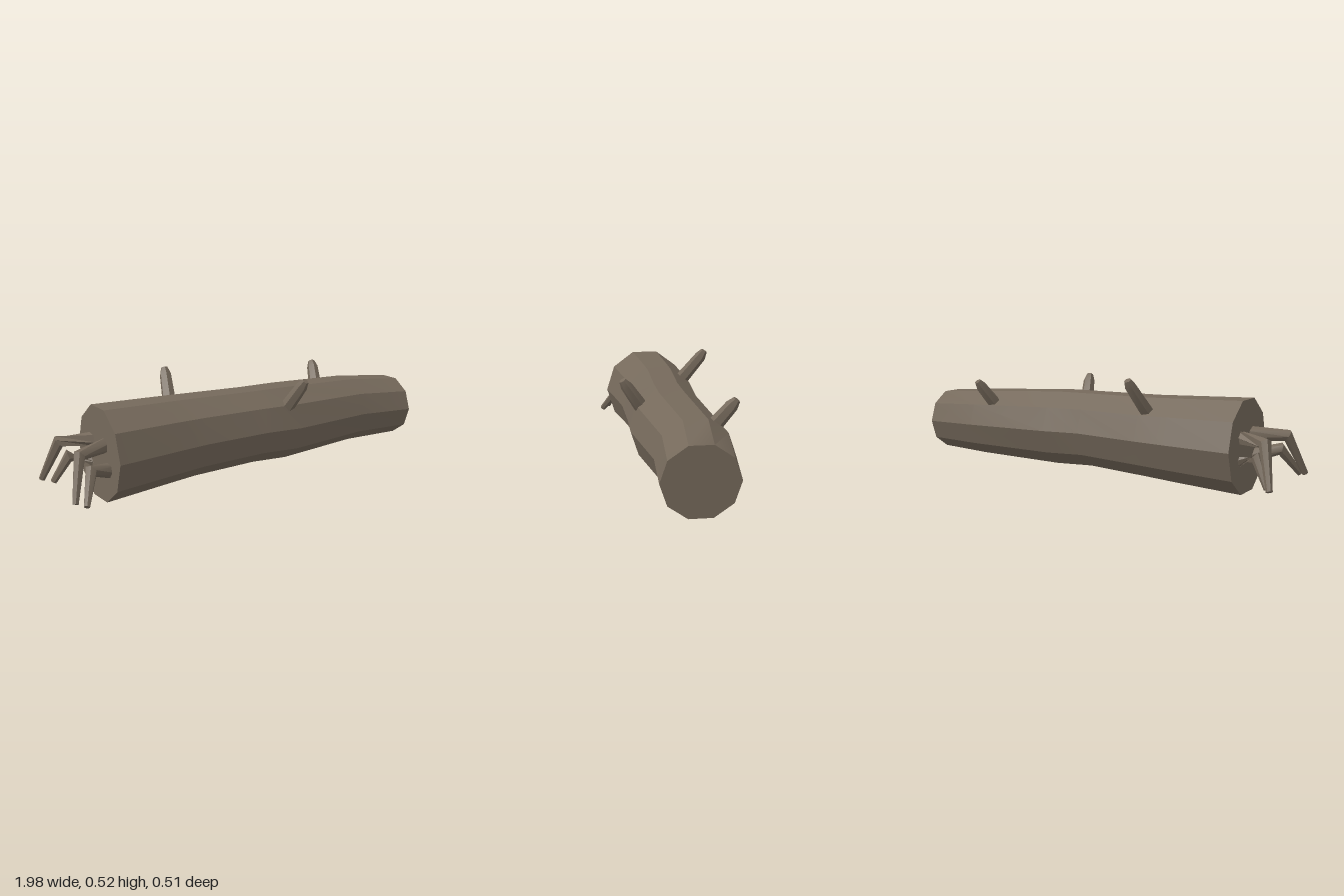
import * as THREE from 'three';
import { toCreasedNormals } from 'three/addons/utils/BufferGeometryUtils.js';

// Skin a list of rings (arrays of Vector3) and close both ends.
function loft(rings) {
  const pos = [];
  const tri = (a, b, c) => { for (const p of [a, b, c]) pos.push(p.x, p.y, p.z); };
  const n = rings[0].length;
  const centre = ring => ring.reduce((s, p) => s.add(p), new THREE.Vector3()).divideScalar(n);
  const first = rings[0], last = rings[rings.length - 1];
  const c0 = centre(first), c1 = centre(last);
  for (let j = 0; j < n; j++) {
    const k = (j + 1) % n;
    for (let i = 0; i < rings.length - 1; i++) {
      const a = rings[i], b = rings[i + 1];
      tri(a[j], b[j], a[k]);
      tri(a[k], b[j], b[k]);
    }
    tri(c0, first[j], first[k]);
    tri(c1, last[k], last[j]);
  }
  const geo = new THREE.BufferGeometry();
  geo.setAttribute('position', new THREE.Float32BufferAttribute(pos, 3));
  return toCreasedNormals(geo, 0.6);
}

// Tapered faceted limb along a path; radii has one value per point.
function limb(path, radii, sides = 6) {
  const pts = path.map(p => new THREE.Vector3(...p));
  const rings = pts.map((p, i) => {
    const d = pts[Math.min(i + 1, pts.length - 1)].clone().sub(pts[Math.max(i - 1, 0)]).normalize();
    const u = new THREE.Vector3(1, 0, 0.3).cross(d).normalize();
    const v = u.clone().cross(d);
    return Array.from({ length: sides }, (_, j) => {
      const t = j / sides * Math.PI * 2;
      return p.clone().addScaledVector(u, Math.cos(t) * radii[i]).addScaledVector(v, Math.sin(t) * radii[i]);
    });
  });
  return loft(rings);
}

export function createModel() {
  const group = new THREE.Group();
  const bark = new THREE.MeshStandardMaterial({ color: 0x75695b });
  bark.name = 'bark';
  const add = (name, geo) => {
    const mesh = new THREE.Mesh(geo, bark);
    mesh.name = name;
    group.add(mesh);
  };

  // Ten-sided trunk: x, bottom, top, back z, front z
  const sections = [
    [-0.775, 0.0, 0.43, -0.208, 0.23],
    [-0.45, 0.022, 0.42, -0.207, 0.2],
    [-0.3, 0.033, 0.415, -0.205, 0.19],
    [0.03, 0.048, 0.41, -0.18, 0.197],
    [0.23, 0.04, 0.408, -0.186, 0.205],
    [0.68, 0.055, 0.386, -0.2, 0.156],
    [0.985, 0.06, 0.361, -0.158, 0.177],
  ];
  add('trunk', loft(sections.map(([x, y0, y1, z0, z1]) =>
    Array.from({ length: 10 }, (_, j) => {
      const t = j / 10 * Math.PI * 2;
      return new THREE.Vector3(x,
        (y0 + y1) / 2 + Math.sin(t) * (y1 - y0) / 2 / Math.sin(Math.PI * 0.4),
        (z0 + z1) / 2 + Math.cos(t) * (z1 - z0) / 2);
    }))));

  // Snapped-off branch stubs
  const stubs = [
    [[-0.335, 0.33, -0.11], [-0.295, 0.48, -0.225], [-0.29, 0.512, -0.245]],
    [[0.18, 0.32, 0.14], [0.213, 0.44, 0.22], [0.22, 0.47, 0.24]],
    [[0.565, 0.31, -0.11], [0.605, 0.425, -0.195], [0.612, 0.452, -0.215]],
  ];
  stubs.forEach((path, i) => add('branchStub' + (i + 1), limb(path, [0.036, 0.029, 0.017])));

  // Bent roots at the wide end
  const roots = [
    [[-0.74, 0.265, 0.05], [-0.92, 0.26, 0.13], [-0.982, 0.075, 0.21]],
    [[-0.74, 0.15, 0.09], [-0.88, 0.19, 0.155], [-0.945, 0.065, 0.245]],
    [[-0.74, 0.265, -0.05], [-0.91, 0.26, -0.125], [-0.968, 0.068, -0.21]],
    [[-0.74, 0.15, -0.07], [-0.87, 0.19, -0.11], [-0.935, 0.065, -0.15]],
  ];
  roots.forEach((path, i) => add('root' + (i + 1), limb(path, [0.038, 0.03, 0.015])));

  return group;
}
